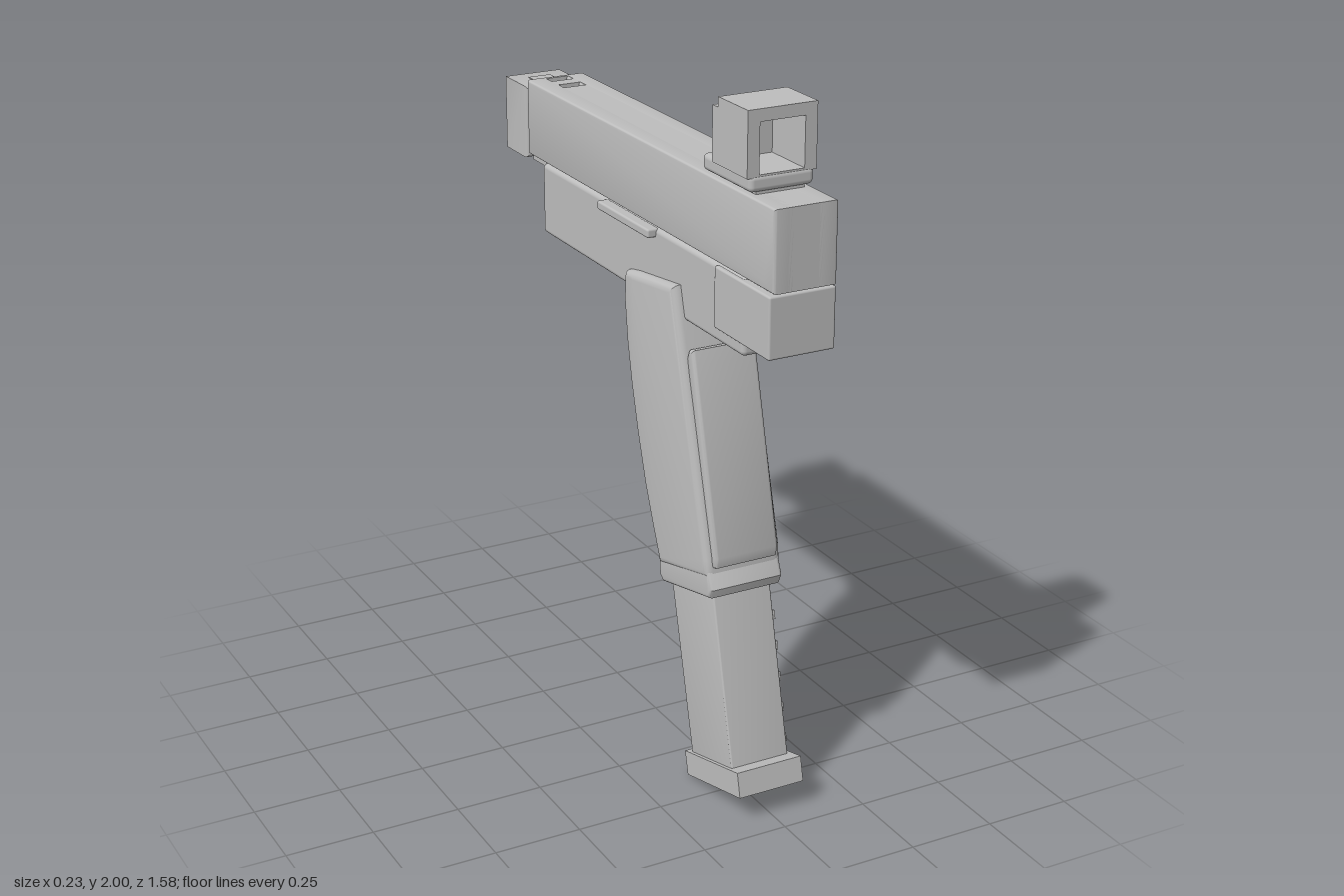
import * as THREE from 'three';
import { toCreasedNormals } from 'three/addons/utils/BufferGeometryUtils.js';
import { RoundedBoxGeometry } from 'three/addons/geometries/RoundedBoxGeometry.js';

const rect = (a0, b0, a1, b1) => [[a0, b0], [a1, b0], [a1, b1], [a0, b1]];

export function createModel() {
  const model = new THREE.Group();
  const grey = new THREE.MeshStandardMaterial({ color: 0xbcbcbc });
  grey.name = 'matte grey';

  function add(name, geometry, parent = model) {
    const mesh = new THREE.Mesh(geometry, grey);
    mesh.name = name;
    parent.add(mesh);
    return mesh;
  }

  function group(name) {
    const g = new THREE.Group();
    g.name = name;
    model.add(g);
    return g;
  }

  // Box given by its limits, with rounded edges when r > 0
  function box(name, [x0, x1], [y0, y1], [z0, z1], r = 0, parent = model) {
    const size = [x1 - x0, y1 - y0, z1 - z0];
    const geo = r ? new RoundedBoxGeometry(...size, 3, r) : new THREE.BoxGeometry(...size);
    geo.translate((x0 + x1) / 2, (y0 + y1) / 2, (z0 + z1) / 2);
    return add(name, geo, parent);
  }

  function extrude(shape, depth, bevel) {
    return new THREE.ExtrudeGeometry(shape, {
      depth: depth - 2 * bevel, bevelEnabled: bevel > 0, bevelThickness: bevel,
      bevelSize: bevel, bevelOffset: -bevel, bevelSegments: 4, curveSegments: 24,
    }).translate(0, 0, bevel);
  }

  const outline = (pts, Type = THREE.Shape) => new Type(pts.map(([a, b]) => new THREE.Vector2(a, b)));

  // Side profile of [z, y] points, spanning x0 to x1
  function side(name, pts, x0, x1, bevel = 0, holes = [], parent = model) {
    const flip = (list) => list.map(([z, y]) => [-z, y]);
    const shape = outline(flip(pts));
    shape.holes = holes.map((h) => outline(flip(h), THREE.Path));
    const geo = extrude(shape, x1 - x0, bevel).rotateY(Math.PI / 2).translate(x0, 0, 0);
    return add(name, toCreasedNormals(geo, 0.6), parent);
  }

  // Slide: pierced side skins over a core with vents in its top
  const slide = group('slide');
  const serrations = [];
  for (let i = 0; i < 5; i++) {
    const z = 0.59 + i * 0.038;
    serrations.push(rect(z - 0.008, 1.575, z + 0.008, 1.755));
  }
  const slideSide = rect(-0.62, 1.56, 0.79, 1.78);
  const port = rect(0.03, 1.66, 0.42, 1.768);
  side('slideRightSkin', slideSide, 0.03, 0.092, 0.008, [port, ...serrations], slide);
  side('slideLeftSkin', slideSide, -0.092, -0.03, 0.008, serrations, slide);
  const coreTop = outline(rect(-0.05, -0.79, 0.05, 0.62));
  coreTop.holes = [0.51, 0.59].map((v) => outline(rect(-0.035, v - 0.018, 0.035, v + 0.018), THREE.Path));
  add('slideCore', extrude(coreTop, 0.22, 0).rotateX(-Math.PI / 2).translate(0, 1.56, 0), slide);
  box('ventFloor', [-0.045, 0.045], [1.57, 1.745], [-0.615, -0.48], 0, slide);
  box('serrationFloor', [-0.075, 0.075], [1.57, 1.76], [0.57, 0.76], 0, slide);

  // Compensator with bore and top vent
  const muzzle = group('muzzle');
  box('barrelNeck', [-0.075, 0.075], [1.56, 1.74], [-0.65, -0.61], 0, muzzle);
  const compShape = outline(rect(-0.087, 1.54, 0.087, 1.755));
  const bore = new THREE.Path();
  bore.absarc(0, 1.65, 0.04, 0, Math.PI * 2);
  compShape.holes = [bore];
  const comp = extrude(compShape, 0.147, 0.012).translate(0, 0, -0.787);
  add('compensator', toCreasedNormals(comp, 0.6), muzzle);
  const barrel = new THREE.LatheGeometry(
    [[0, -0.06], [0.026, -0.06], [0.026, 0], [0.045, 0], [0.045, -0.1]].map(([r, y]) => new THREE.Vector2(r, y)), 28);
  const barrelMesh = add('barrel', toCreasedNormals(barrel, 0.6).rotateX(-Math.PI / 2).translate(0, 1.65, -0.778), muzzle);
  barrelMesh.material = grey;
  grey.side = THREE.DoubleSide;
  box('compensatorVent', [-0.035, 0.035], [1.75, 1.757], [-0.73, -0.693], 0, muzzle);

  // Frame, rear block and rail
  box('frame', [-0.09, 0.09], [1.345, 1.555], [-0.53, 0.64], 0.014);
  box('rearBlock', [-0.097, 0.097], [1.383, 1.552], [0.5, 0.78], 0.006);
  box('frameRail', [-0.075, 0.075], [1.54, 1.57], [-0.62, 0.77]);

  // Grip with a curved front edge, backstrap and collar
  side('grip', [[0.31, 1.44], [0.08, 1.41], [0.03, 1.4], [0.025, 1.32], [0.04, 1.2], [0.065, 1.08],
    [0.1, 0.95], [0.145, 0.81], [0.19, 0.7], [0.235, 0.6], [0.51, 0.67], [0.505, 0.72]], -0.117, 0.117, 0.022);
  side('backstrap', [[0.355, 1.25], [0.365, 1.275], [0.388, 1.28], [0.398, 1.24], [0.525, 0.73],
    [0.52, 0.7], [0.49, 0.69], [0.45, 0.72]], -0.097, 0.097, 0.01);
  side('gripCollar', [[0.505, 0.69], [0.527, 0.64], [0.515, 0.612], [0.25, 0.55], [0.23, 0.565], [0.225, 0.62]],
    -0.112, 0.112, 0.012);

  // Magazine with ribs on one side
  const magazine = group('magazine');
  side('magazineBody', [[0.49, 0.65], [0.255, 0.6], [0.39, 0.06], [0.615, 0.12]], -0.09, 0.088, 0.005, [], magazine);
  for (let i = 0; i < 5; i++) {
    const z = i * 0.0185, y = -i * 0.086;
    side('magazineRib', [[0.513 + z, 0.53 + y], [0.308 + z, 0.48 + y], [0.312 + z, 0.455 + y], [0.518 + z, 0.505 + y]],
      0.08, 0.096, 0, [], magazine);
  }
  side('magazineBase', [[0.66, 0.147], [0.365, 0.068], [0.382, 0], [0.676, 0.077]], -0.1, 0.1, 0, [], magazine);

  // Trigger
  side('trigger', [[0.0, 1.36], [-0.03, 1.345], [-0.072, 1.305], [-0.035, 1.22], [0.035, 1.21], [0.035, 1.23],
    [-0.022, 1.237], [-0.05, 1.3], [-0.02, 1.328], [0.0, 1.335]], -0.02, 0.02);

  // Side pin and slide lever
  const pin = new THREE.CylinderGeometry(0.036, 0.036, 0.05, 28).rotateZ(Math.PI / 2).translate(0.093, 1.415, 0.068);
  add('sidePin', pin);
  box('slideLever', [-0.115, -0.08], [1.53, 1.555], [-0.13, 0.17], 0.006);

  // Open sight with a framed lens
  const sight = group('sight');
  box('sightBase', [-0.093, 0.093], [1.787, 1.832], [0.425, 0.67], 0.014, sight);
  box('sightMount', [-0.07, 0.07], [1.77, 1.8], [0.44, 0.66], 0, sight);
  function sightFrame(name, top, z0, z1) {
    const shape = outline(rect(-0.1, 1.825, 0.1, top));
    shape.holes = [outline(rect(-0.065, 1.832, 0.065, 1.967), THREE.Path)];
    add(name, extrude(shape, z1 - z0, 0).translate(0, 0, z0), sight);
  }
  sightFrame('sightHood', 2, 0.518, 0.667);
  sightFrame('sightFrontFrame', 1.973, 0.49, 0.518);
  box('sightLens', [-0.066, 0.066], [1.83, 1.953], [0.5, 0.508], 0, sight);

  return model;
}
